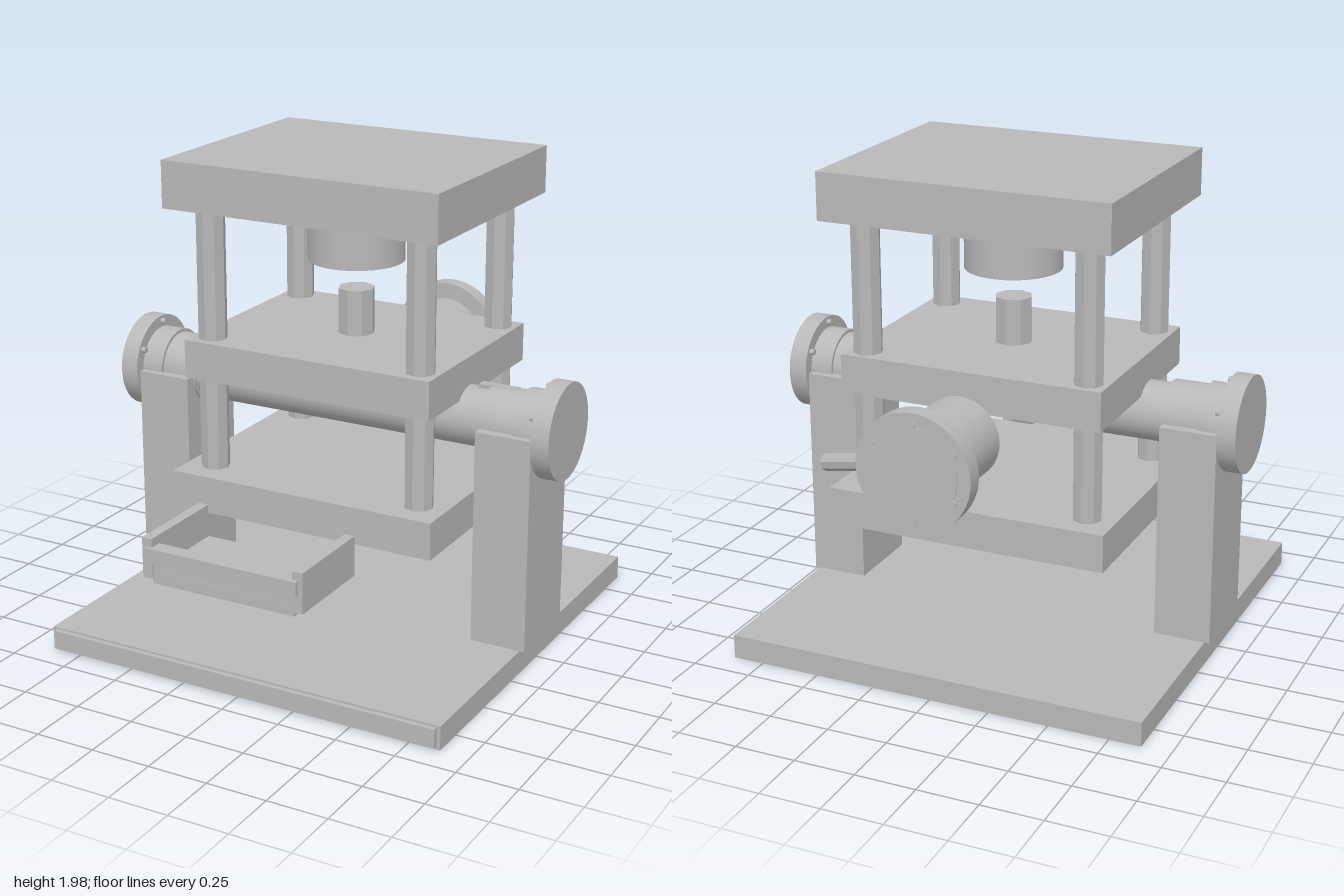
import * as THREE from 'three';

export function createModel() {
  const model = new THREE.Group();
  const steel = new THREE.MeshStandardMaterial({ color: 0xb8b8b8 });
  steel.name = 'steel grey';

  const add = (name, geometry, parent = model) => {
    const mesh = new THREE.Mesh(geometry, steel);
    mesh.name = name;
    parent.add(mesh);
    return mesh;
  };
  const group = (name) => {
    const g = new THREE.Group();
    g.name = name;
    model.add(g);
    return g;
  };
  // box given by its extents on each axis
  const box = (name, x0, x1, y0, y1, z0, z1, parent) => {
    const g = new THREE.BoxGeometry(x1 - x0, y1 - y0, z1 - z0);
    g.translate((x0 + x1) / 2, (y0 + y1) / 2, (z0 + z1) / 2);
    return add(name, g, parent);
  };
  // cylinder between two points; few sides give flat facets
  const rod = (name, a, b, r, sides = 48, parent = model) => {
    const from = new THREE.Vector3(...a), to = new THREE.Vector3(...b);
    const dir = to.clone().sub(from);
    let g = new THREE.CylinderGeometry(r, r, dir.length(), sides);
    if (sides < 16) {
      g = g.toNonIndexed();
      g.computeVertexNormals();
    }
    const mesh = add(name, g, parent);
    mesh.position.copy(from).add(to).multiplyScalar(0.5);
    mesh.quaternion.setFromUnitVectors(new THREE.Vector3(0, 1, 0), dir.normalize());
    return mesh;
  };

  const axisY = 0.99;

  // base with a thin front strip
  box('base', -0.88, 0.88, 0, 0.1, -0.89, 0.885);
  box('baseFrontStrip', -0.865, 0.865, 0.015, 0.092, 0.885, 0.905);

  // press frame: three plates on four columns
  box('topPlate', -0.607, 0.607, 1.78, 1.975, -0.575, 0.41);
  box('middlePlate', -0.553, 0.553, 1.07, 1.23, -0.52, 0.358);
  box('bottomPlate', -0.592, 0.592, 0.52, 0.675, -0.575, 0.41);
  for (const x of [-0.472, 0.472])
    for (const z of [-0.44, 0.27])
      rod('column', [x, 0.67, z], [x, 1.785, z], 0.06, 8);
  rod('upperRam', [0, 1.54, -0.082], [0, 1.785, -0.082], 0.198);
  rod('lowerPiston', [0, 1.225, -0.082], [0, 1.42, -0.082], 0.076, 8);

  // cross shaft, with a post, hub and end cap on each side
  rod('shaft', [-0.67, axisY, 0], [0.67, axisY, 0], 0.121);
  box('shaftKey', 0.6, 0.76, 1.08, 1.128, -0.03, 0.01);
  for (const s of [-1, 1]) {
    const side = group(s > 0 ? 'leftSupport' : 'rightSupport');
    box('post', s * 0.783 - 0.118, s * 0.783 + 0.118, 0.1, axisY, -0.18, 0.178, side);
    rod('innerHub', [s * 0.655, axisY, 0], [s * 0.82, axisY, 0], 0.137, 48, side);
    rod('outerHub', [s * 0.81, axisY, 0], [s * 0.91, axisY, 0], 0.15, 48, side);
    rod('endCap', [s * 0.905, axisY, 0], [s * 0.982, axisY, 0], 0.198, 48, side);
    for (let i = 0; i < 6; i++) {
      const a = (i + 0.5) * Math.PI / 3;
      const y = axisY + 0.175 * Math.sin(a), z = 0.175 * Math.cos(a);
      rod('capBolt', [s * 0.885, y, z], [s * 0.91, y, z], 0.012, 12, side);
    }
  }

  // rear drum with a bolted flange
  const drum = group('rearDrum');
  rod('drumBody', [0, axisY, -0.59], [0, axisY, -0.93], 0.168, 48, drum);
  rod('drumFlange', [0, axisY, -0.922], [0, axisY, -0.994], 0.237, 48, drum);
  rod('flangeCover', [0, axisY, -0.99], [0, axisY, -0.997], 0.185, 48, drum);
  for (let i = 0; i < 6; i++) {
    const a = Math.PI / 2 + i * Math.PI / 3;
    const x = 0.19 * Math.cos(a), y = axisY + 0.19 * Math.sin(a);
    rod('flangeBolt', [x, y, -0.918], [x, y, -1], 0.015, 12, drum);
  }
  rod('lever', [0.06, 0.935, -0.745], [0.59, 0.795, -0.6], 0.036, 8, drum);

  // open tray in front of the press
  const tray = group('tray');
  box('trayFloor', -0.315, 0.315, 0.455, 0.505, 0.585, 0.98, tray);
  box('trayFront', -0.315, 0.315, 0.5, 0.605, 0.935, 0.978, tray);
  box('trayHandleBar', -0.335, 0.335, 0.55, 0.605, 0.97, 1.0, tray);
  for (const s of [-1, 1])
    box('traySide', s * 0.333 - 0.022, s * 0.333 + 0.022, 0.475, 0.64, 0.585, 0.985, tray);

  return model;
}
